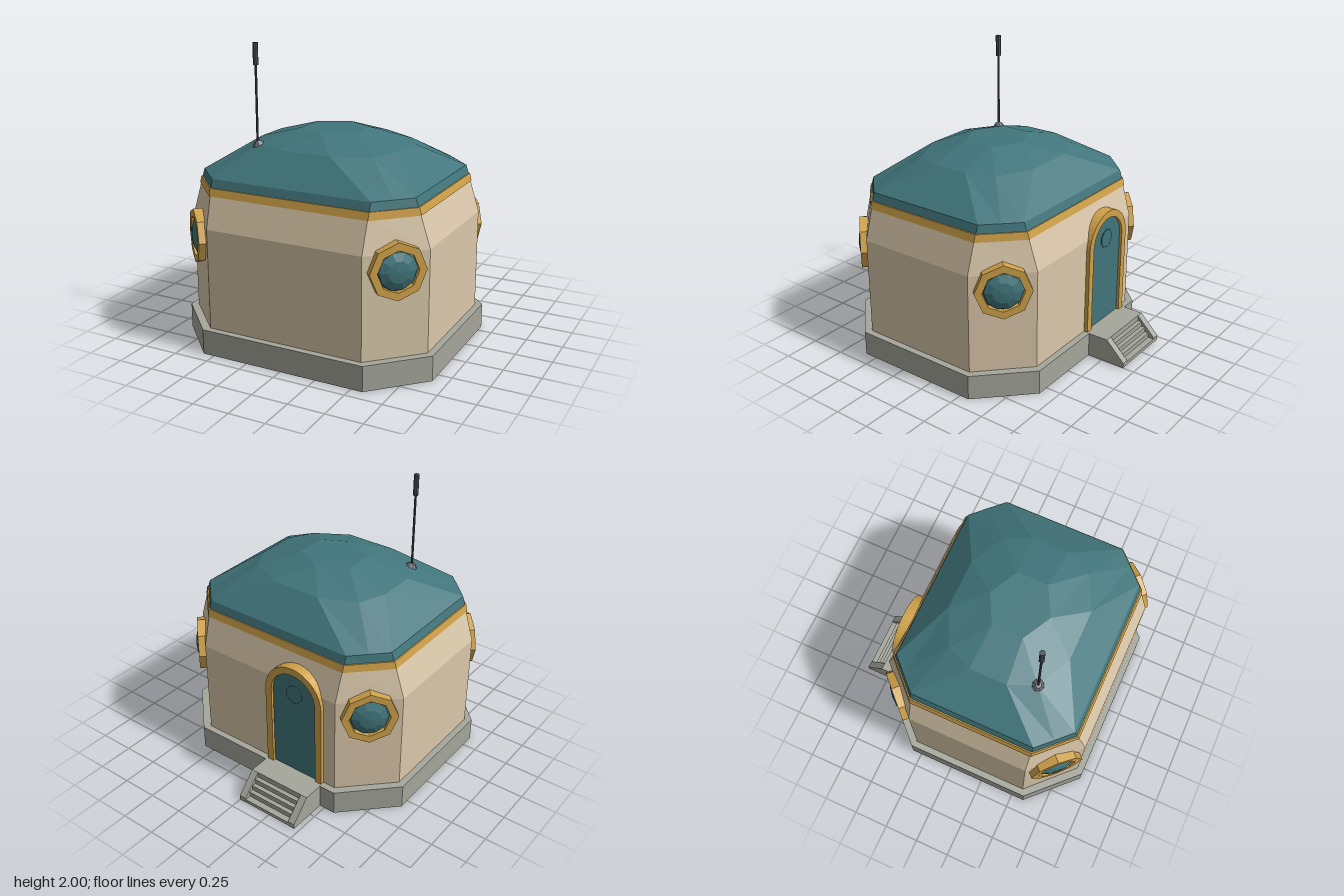
import * as THREE from 'three';

const mat = (name, color) => {
  const m = new THREE.MeshStandardMaterial({ color, flatShading: true });
  m.name = name;
  return m;
};

export function createModel() {
  const cream = mat('cream wall', 0xdac8aa);
  const teal = mat('teal', 0x41767c);
  const gold = mat('gold trim', 0xd0a24a);
  const stone = mat('grey stone', 0xa5a69b);
  const dark = mat('dark metal', 0x47525c);
  const bump = mat('mount grey', 0x70707a);

  const root = new THREE.Group();
  root.name = 'hut';
  const house = new THREE.Group();
  house.name = 'house';
  house.position.z = 0.1375;
  root.add(house);

  const add = (parent, name, geo, material, x = 0, y = 0, z = 0) => {
    const m = new THREE.Mesh(geo, material);
    m.name = name;
    m.position.set(x, y, z);
    parent.add(m);
    return m;
  };

  // Mirror one quadrant of [x, y, z] points into a full ring, +x towards +z
  const ring = (q) => {
    const r = [...q].reverse();
    return [
      ...q,
      ...r.map(([x, y, z]) => [-x, y, z]),
      ...q.map(([x, y, z]) => [-x, y, -z]),
      ...r.map(([x, y, z]) => [x, y, -z]),
    ];
  };

  // Join rings from bottom to top, with flat caps
  const loft = (quadrants) => {
    const rings = quadrants.map(ring);
    const n = rings[0].length;
    const out = [];
    const tri = (...p) => p.forEach((v) => out.push(...v));
    const first = rings[0], last = rings[rings.length - 1];
    const low = [0, first[0][1], 0], high = [0, last[0][1], 0];
    for (let i = 0; i < n; i++) {
      const j = (i + 1) % n;
      for (let k = 0; k + 1 < rings.length; k++) {
        const a = rings[k][i], b = rings[k][j], c = rings[k + 1][j], d = rings[k + 1][i];
        tri(a, c, b);
        tri(a, d, c);
      }
      tri(low, first[i], first[j]);
      tri(high, last[j], last[i]);
    }
    const g = new THREE.BufferGeometry();
    g.setAttribute('position', new THREE.Float32BufferAttribute(out, 3));
    g.computeVertexNormals();
    return g;
  };

  // Octagon level: half width, half depth, and where the corner cuts begin
  const oct = (y, X, Z, cx, cz) => [[X, y, cz], [cx, y, Z]];

  add(house, 'foundation', loft([oct(0, 0.905, 0.78, 0.58, 0.455), oct(0.17, 0.905, 0.78, 0.58, 0.455)]), stone);
  add(house, 'walls', loft([
    oct(0.17, 0.86, 0.735, 0.55, 0.43),
    oct(0.85, 0.86, 0.735, 0.55, 0.43),
    oct(1.08, 0.787, 0.664, 0.557, 0.432),
  ]), cream);
  add(house, 'trimBand', loft([
    oct(1.055, 0.8, 0.677, 0.56, 0.436),
    oct(1.105, 0.787, 0.664, 0.562, 0.438),
  ]), gold);

  // Faceted dome roof, three points per quadrant
  add(house, 'roof', loft([
    [[0.78, 1.1, 0.435], [0.67, 1.1, 0.546], [0.56, 1.1, 0.658]],
    [[0.76, 1.16, 0.435], [0.66, 1.16, 0.538], [0.56, 1.16, 0.638]],
    [[0.5, 1.345, 0.13], [0.42, 1.335, 0.31], [0.18, 1.345, 0.43]],
    [[0.2, 1.43, 0.108], [0.2, 1.43, 0.108], [0, 1.43, 0.215]],
  ]), teal);

  // Round windows on the four corner walls
  const polygon = (r, n) => Array.from({ length: n }, (_, i) =>
    new THREE.Vector2(r * Math.cos((i * 2 * Math.PI) / n), r * Math.sin((i * 2 * Math.PI) / n)));
  const frameShape = new THREE.Shape(polygon(0.185, 8));
  frameShape.holes.push(new THREE.Path(polygon(0.135, 8)));
  const windowFrame = new THREE.ExtrudeGeometry(frameShape, { depth: 0.065, bevelEnabled: false });
  const glass = new THREE.SphereGeometry(1, 10, 3, 0, Math.PI * 2, 0, Math.PI / 2);
  glass.rotateX(Math.PI / 2);
  glass.scale(0.142, 0.142, 0.06);
  for (const sx of [1, -1]) {
    for (const sz of [1, -1]) {
      const w = new THREE.Group();
      w.name = 'cornerWindow';
      w.position.set(sx * 0.705, 0.745, sz * 0.5825);
      w.rotation.y = Math.atan2(sx, sz);
      add(w, 'windowFrame', windowFrame, gold, 0, 0, -0.02);
      add(w, 'windowGlass', glass, teal);
      house.add(w);
    }
  }

  // Arched door at the back
  const arch = (S, r, bottom) => {
    const s = new S();
    s.moveTo(-r, bottom);
    s.lineTo(r, bottom);
    s.lineTo(r, 0.7675);
    s.absarc(0, 0.7675, r, 0, Math.PI, false);
    s.lineTo(-r, bottom);
    return s;
  };
  const extrude = (shape, depth, curveSegments = 8) =>
    new THREE.ExtrudeGeometry(shape, { depth, bevelEnabled: false, curveSegments });
  const door = new THREE.Group();
  door.name = 'door';
  door.position.x = -0.2325;
  root.add(door);
  const doorFrame = arch(THREE.Shape, 0.2275, 0.165);
  doorFrame.holes.push(arch(THREE.Path, 0.178, 0.1655));
  add(door, 'doorFrame', extrude(doorFrame, 0.085), gold, 0, 0, -0.625);
  add(door, 'doorPanel', extrude(arch(THREE.Shape, 0.18, 0.166), 0.06), teal, 0, 0, -0.606);
  const porthole = new THREE.CylinderGeometry(0.065, 0.065, 0.008, 10);
  porthole.rotateX(Math.PI / 2);
  add(door, 'doorPorthole', porthole, teal, 0, 0.79, -0.609);

  // Porch with sloped cheeks and small steps, drawn as side profiles
  const side = (points, width) => {
    const g = extrude(new THREE.Shape(points.map(([d, y]) => new THREE.Vector2(d, y))), width);
    g.rotateY(Math.PI / 2);
    return g;
  };
  add(root, 'porch', new THREE.BoxGeometry(0.465, 0.17, 0.185), stone, -0.2325, 0.085, -0.6925);
  const cheek = side([[0.785, 0], [0.92, 0], [0.92, 0.035], [0.785, 0.17]], 0.05);
  for (const x of [-0.465, -0.05]) add(root, 'stepCheek', cheek, stone, x);
  add(root, 'steps', side([
    [0.785, 0], [0.918, 0], [0.918, 0.025], [0.875, 0.025], [0.875, 0.06],
    [0.845, 0.06], [0.845, 0.095], [0.815, 0.095], [0.815, 0.13], [0.785, 0.13],
  ], 0.367), stone, -0.416);

  // Antenna on the roof
  const antenna = new THREE.Group();
  antenna.name = 'antenna';
  antenna.position.set(-0.417, 0, 0.45);
  root.add(antenna);
  const mount = add(antenna, 'antennaMount', new THREE.CylinderGeometry(0.02, 0.044, 0.03, 8), bump, 0, 1.343, 0);
  mount.rotation.set(0.25, 0, 0.25);
  add(antenna, 'antennaRod', new THREE.CylinderGeometry(0.008, 0.008, 0.53, 8), dark, 0, 1.6, 0);
  add(antenna, 'antennaTip', new THREE.CylinderGeometry(0.018, 0.018, 0.145, 8), dark, 0, 1.9275, 0);

  return root;
}
